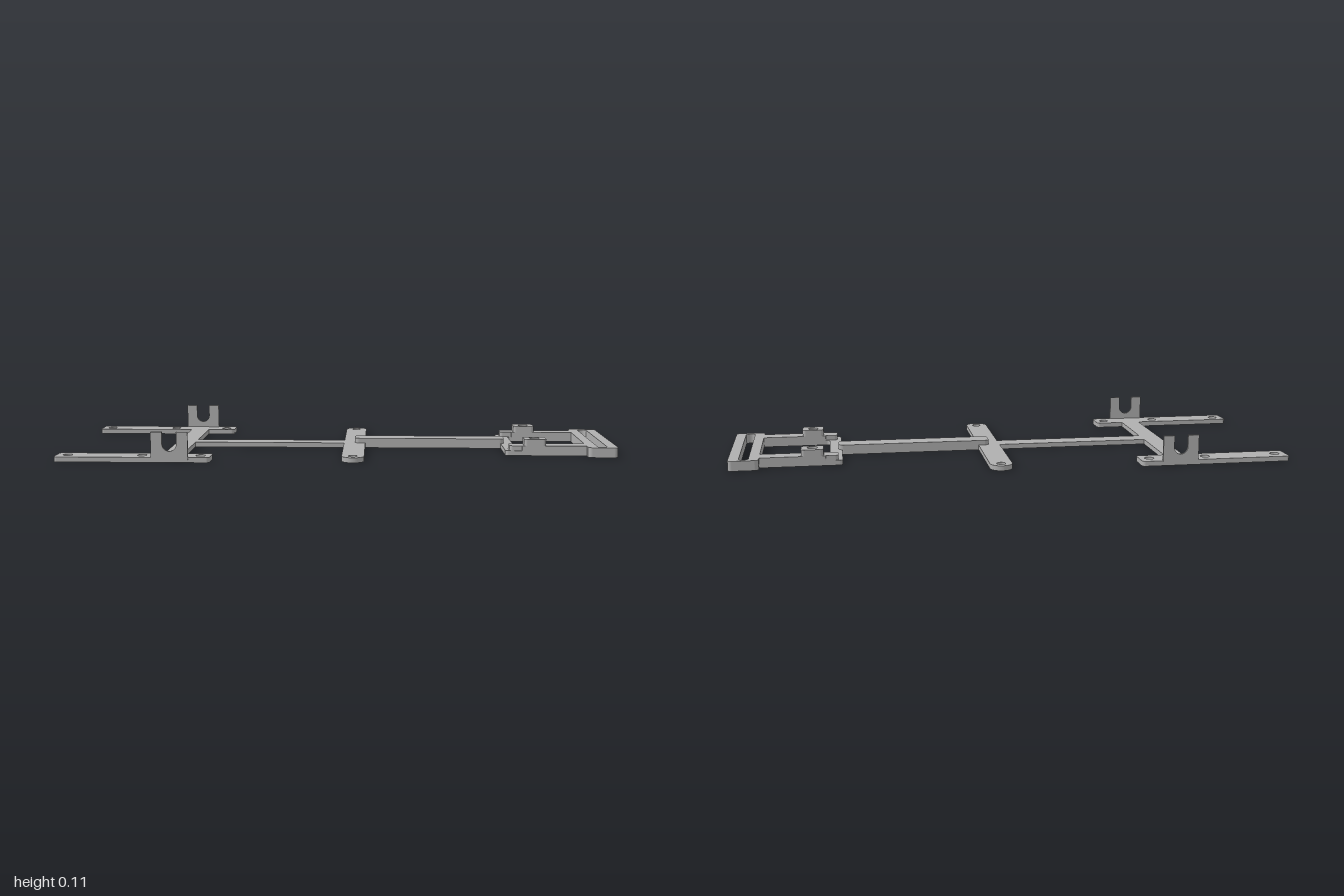
import * as THREE from 'three';

const LOW = 0.018, HIGH = 0.036, PAD = 0.06;

export function createModel() {
  const group = new THREE.Group();
  const grey = new THREE.MeshStandardMaterial({ color: 0xb0b0b0 });
  grey.name = 'grey plastic';

  // Trace a rounded rectangle (x0..x1, y0..y1) onto a shape or path
  function rounded(path, x0, x1, y0, y1, r) {
    path.moveTo(x0 + r, y0);
    path.lineTo(x1 - r, y0);
    path.absarc(x1 - r, y0 + r, r, -Math.PI / 2, 0);
    path.lineTo(x1, y1 - r);
    path.absarc(x1 - r, y1 - r, r, 0, Math.PI / 2);
    path.lineTo(x0 + r, y1);
    path.absarc(x0 + r, y1 - r, r, Math.PI / 2, Math.PI);
    path.lineTo(x0, y0 + r);
    path.absarc(x0 + r, y0 + r, r, Math.PI, Math.PI * 1.5);
    return path;
  }
  const circle = (x, y, r) => new THREE.Path().absarc(x, y, r, 0, Math.PI * 2, true);

  function add(name, geometry) {
    const mesh = new THREE.Mesh(geometry, grey);
    mesh.name = name;
    group.add(mesh);
    return mesh;
  }

  // Flat plate lying in the ground plane, from height y0 to y1
  function plate(name, x0, x1, z0, z1, r, y0, y1, holes = []) {
    const shape = rounded(new THREE.Shape(), x0, x1, -z1, -z0, r);
    shape.holes.push(...holes);
    const geo = new THREE.ExtrudeGeometry(shape, { depth: y1 - y0, bevelEnabled: false, curveSegments: 10 });
    geo.rotateX(-Math.PI / 2);
    geo.translate(0, y0, 0);
    return add(name, geo);
  }

  // Spine and cross members
  plate('spine', -0.57, 0.1, -0.035, 0.035, 0.001, 0, LOW);
  plate('raisedSpine', 0.05, 0.613, -0.035, 0.035, 0.018, 0, HIGH);
  plate('rearCrossbar', -0.625, -0.555, -0.3, 0.3, 0.001, 0, LOW);
  plate('middleArm', 0.01, 0.09, -0.368, 0.368, 0.04, 0, LOW,
    [circle(0.05, 0.33, 0.016), circle(0.05, -0.33, 0.016)]);

  // Notched upright bracket profile
  const bracket = new THREE.Shape();
  bracket.moveTo(-0.655, 0.001);
  bracket.lineTo(-0.525, 0.001);
  bracket.lineTo(-0.525, 0.108);
  bracket.lineTo(-0.565, 0.108);
  bracket.lineTo(-0.565, 0.065);
  bracket.absarc(-0.59, 0.065, 0.025, 0, Math.PI, true);
  bracket.lineTo(-0.615, 0.108);
  bracket.lineTo(-0.655, 0.108);

  for (const s of [1, -1]) {
    const span = (a, b) => (s > 0 ? [a, b] : [-b, -a]);
    // Drilled side plates with brackets on the outer edge
    plate('sidePlate', -1, -0.45, ...span(0.292, 0.382), 0.012, 0, LOW,
      [-0.96, -0.695, -0.487].map((x) => circle(x, -s * 0.335, 0.017)));
    const geo = new THREE.ExtrudeGeometry(bracket, { depth: 0.008, bevelEnabled: false, curveSegments: 10 });
    add('bracket', geo).position.z = s > 0 ? 0.3745 : -0.3825;

    // Frame rails, corner blocks and drilled pads
    const bore = () => [circle(0.707, -s * 0.162, 0.018)];
    plate('frameRail', 0.66, 0.91, ...span(0.137, 0.196), 0.001, 0, HIGH, bore());
    plate('cornerBlock', 0.615, 0.68, ...span(0.14, 0.195), 0.012, LOW, HIGH);
    plate('pad', 0.667, 0.747, ...span(0.135, 0.199), 0.012, HIGH, PAD, bore());
  }

  // Low frame end under the corner blocks
  const end = new THREE.Shape();
  end.moveTo(0.67, -0.196);
  end.lineTo(0.67, -0.137);
  end.lineTo(0.657, -0.137);
  end.absarc(0.657, -0.125, 0.012, -Math.PI / 2, Math.PI, true);
  end.lineTo(0.645, 0.125);
  end.absarc(0.657, 0.125, 0.012, Math.PI, Math.PI / 2, true);
  end.lineTo(0.67, 0.137);
  end.lineTo(0.67, 0.196);
  end.lineTo(0.612, 0.196);
  end.absarc(0.612, 0.184, 0.012, Math.PI / 2, Math.PI, false);
  end.lineTo(0.6, -0.184);
  end.absarc(0.612, -0.184, 0.012, Math.PI, Math.PI * 1.5, false);
  const endGeo = new THREE.ExtrudeGeometry(end, { depth: LOW, bevelEnabled: false, curveSegments: 8 });
  add('frameEnd', endGeo.rotateX(-Math.PI / 2));

  // Slotted strap bar
  plate('slottedBar', 0.893, 1, -0.231, 0.231, 0.015, 0, HIGH,
    [rounded(new THREE.Path(), 0.929, 0.963, -0.215, 0.215, 0.016)]);

  return group;
}
